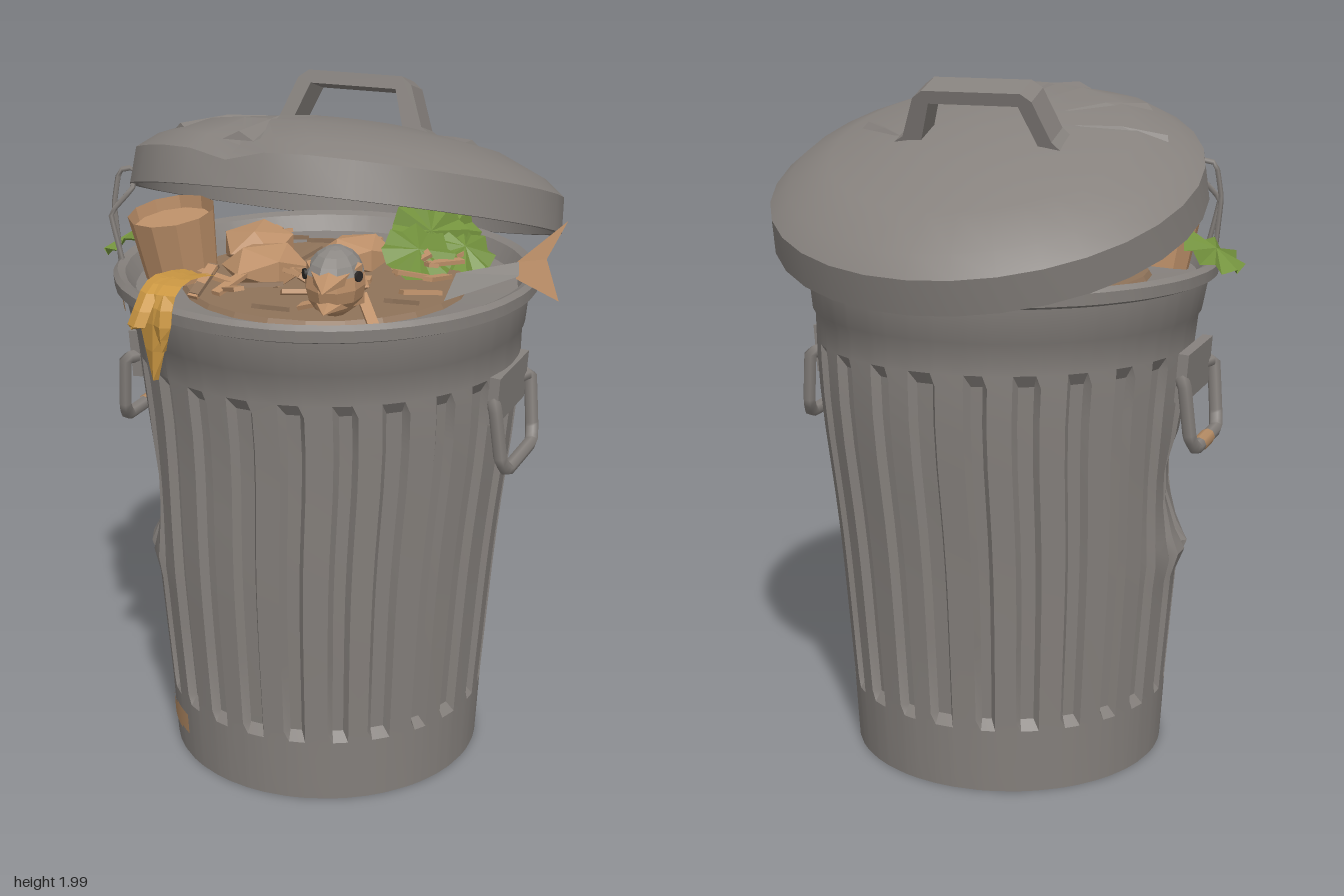
import * as THREE from 'three';
import { toCreasedNormals } from 'three/addons/utils/BufferGeometryUtils.js';
import { ConvexGeometry } from 'three/addons/geometries/ConvexGeometry.js';

const V = (x, y, z) => new THREE.Vector3(x, y, z);

function mat(name, color, extra = {}) {
  const m = new THREE.MeshStandardMaterial({ color, ...extra });
  m.name = name;
  return m;
}

// Surface through rings: rows are profile entries, place(row, angle) gives each point
function loft(rows, angles, place, crease = 0.5) {
  const pos = [], idx = [], n = angles.length;
  rows.forEach((row) => angles.forEach((a, i) => pos.push(...place(row, a, i))));
  for (let j = 0; j < rows.length - 1; j++) {
    for (let i = 0; i < n; i++) {
      const a = j * n + i, b = j * n + (i + 1) % n, c = b + n, d = a + n;
      if (rows[j][1] > 0) idx.push(a, b, d);
      if (rows[j + 1][1] > 0) idx.push(b, c, d);
    }
  }
  const g = new THREE.BufferGeometry();
  g.setAttribute('position', new THREE.Float32BufferAttribute(pos, 3));
  g.setIndex(idx);
  return toCreasedNormals(g, crease);
}

// Flat strip that follows a path, tapering by width(t)
function ribbon(points, width, across) {
  const curve = new THREE.CatmullRomCurve3(points);
  const g = new THREE.PlaneGeometry(1, 1, 2, 8), p = g.attributes.position;
  for (let i = 0; i < p.count; i++) {
    const t = 0.5 - p.getY(i), side = p.getX(i);
    const q = curve.getPoint(t).addScaledVector(across, side * width(t));
    p.setXYZ(i, q.x, q.y, q.z + (side === 0 ? 0.015 : 0));
  }
  return g;
}

// Crinkled leaf
function leafGeometry() {
  const g = new THREE.CircleGeometry(1, 16), p = g.attributes.position;
  for (let i = 1; i < p.count; i++) {
    const k = (i - 1) % 16, s = k % 2 ? 1 : 0.92;
    p.setXYZ(i, p.getX(i) * s, p.getY(i) * s, (k % 2 ? 0.12 : -0.1) - 0.2);
  }
  return g;
}

export function createModel() {
  const metal = mat('grey metal', 0x86817d);
  const tan = mat('tan waste', 0xbd9069, { flatShading: true, side: THREE.DoubleSide });
  const peelMat = mat('orange peel', 0xcb9742, { flatShading: true, side: THREE.DoubleSide });
  const green = mat('leaf green', 0x73923d, { flatShading: true, side: THREE.DoubleSide });
  const fishGrey = mat('fish grey', 0x8c8884, { flatShading: true, side: THREE.DoubleSide });
  const rust = mat('rust', 0xb58c65);
  const brown = mat('brown litter', 0x8f735a, { flatShading: true });
  const dark = mat('dark eye', 0x2b2826);

  const model = new THREE.Group();
  const add = (name, geo, m, parent = model, at = [0, 0, 0], rot = [0, 0, 0], scale = [1, 1, 1]) => {
    const mesh = new THREE.Mesh(geo, m);
    mesh.name = name;
    mesh.position.set(...at);
    mesh.rotation.set(...rot);
    mesh.scale.set(...scale);
    parent.add(mesh);
    return mesh;
  };

  // Can: fluted tapering wall, collar, rolled rim, a slight lean and a dent on one side
  const can = new THREE.Group();
  can.name = 'can';
  can.position.set(-0.043, 0, 0.033);
  model.add(can);
  const wall = [[0, 0], [0, 0.462], [0.05, 0.465], [0.19, 0.473], [0.22, 0.475, 1]];
  for (const y of [0.45, 0.55, 0.62, 0.68, 0.78, 0.88, 0.98, 1.1, 1.21]) wall.push([y, 0.459 + 0.075 * y, 1]);
  wall.push([1.245, 0.551], [1.32, 0.556], [1.335, 0.565], [1.43, 0.579], [1.44, 0.604], [1.472, 0.606],
    [1.485, 0.593], [1.475, 0.572], [1.43, 0.545], [1.42, 0.4]);
  const flutes = 24, angles = [];
  for (let i = 0; i < flutes; i++) {
    const shift = 0.06 * Math.sin(i * 2.7);
    for (const f of [0, 0.5 + shift, 0.62 + shift, 0.9]) angles.push((i + f) / flutes * Math.PI * 2);
  }
  const bump = (y, c, w) => Math.exp(-(((y - c) / w) ** 2));
  add('canBody', loft(wall, angles, ([y, r, groove = 0], a, i) => {
    const near = Math.exp(-(1 - Math.cos(a + 1.35)) * 16), lean = bump(y, 1.1, 0.3);
    const dent = groove * near * (0.03 * bump(y, 0.62, 0.04) - 0.06 * bump(y, 0.84, 0.13));
    const R = r + dent - (i % 4 > 1 ? 0.022 * groove : 0);
    return [R * Math.sin(a) + 0.014 * lean, y, R * Math.cos(a) - 0.012 * lean];
  }), metal, can);
  add('garbageBed', new THREE.CylinderGeometry(0.4, 0.42, 0.03, 24), brown, can, [0, 1.42, 0]);

  // Rust patches lying on the wall
  for (const [y, h, r0, r1, a, w] of [[0.1, 0.06, 0.4695, 0.4725, -1.06, 0.26], [0.112, 0.064, 0.47, 0.4733, -0.9, 0.22],
    [1.4, 0.035, 0.577, 0.582, -1.0, 0.08]])
    add('rustPatch', new THREE.CylinderGeometry(r1, r0, h, 6, 1, true, a, w), rust, can, [0, y, 0]);

  // Side handles: bracket plate and hanging bail
  for (const s of [1, -1]) {
    const side = new THREE.Group();
    side.name = s > 0 ? 'leftHandle' : 'rightHandle';
    can.add(side);
    add('bracket', new THREE.BoxGeometry(0.03, 0.14, 0.27), metal, side, [s * 0.553, 1.18, 0], [0, 0, -s * 0.07]);
    const path = new THREE.CatmullRomCurve3([V(0.55, 1.17, 0.12), V(0.57, 1.17, 0.165), V(0.585, 1.02, 0.15),
      V(0.594, 0.98, 0.115), V(0.594, 0.98, -0.115), V(0.585, 1.02, -0.15), V(0.57, 1.17, -0.165), V(0.55, 1.17, -0.12)]
      .map((p) => V(s * p.x, p.y, p.z)), false, 'catmullrom', 0.1);
    add('bail', new THREE.TubeGeometry(path, 42, 0.02, 6), metal, side);
    if (s < 0) add('rustyGrip', new THREE.CylinderGeometry(0.0225, 0.0225, 0.1, 8, 1, true), rust, side, [-0.594, 0.98, -0.03], [Math.PI / 2, 0, 0]);
  }

  // Lid: domed shell tipped open towards the front, with a notch in the rim
  const lid = new THREE.Group();
  lid.name = 'lid';
  lid.position.set(-0.013, 1.621, -0.052);
  lid.rotation.x = -0.312;
  model.add(lid);
  const dome = [[0.1, 0.612], [0.145, 0.555], [0.2, 0.43], [0.24, 0.2], [0.25, 0]];
  const lidRows = [[0.235, 0], [0.225, 0.2], [0.18, 0.42], [0.12, 0.55], [0.08, 0.585], [0, 0.595], [0, 0.618], ...dome];
  const lidAngles = Array.from({ length: 32 }, (_, i) => i / 32 * Math.PI * 2);
  add('lidShell', loft(lidRows, lidAngles, ([h, r], a) => {
    const n = r > 0.5 ? Math.exp(-(1 - Math.cos(a + 0.2)) * 90) : 0;
    const R = r - 0.015 * n;
    return [R * Math.sin(a), h - (h > 0.09 ? 0.03 * n : 0), 1.025 * R * Math.cos(a)];
  }, 0.4), metal, lid);

  // Pressed creases on the dome
  const domeY = (x, z) => {
    const r = Math.hypot(x, z / 1.025);
    for (let i = 0; i < dome.length - 1; i++) {
      const [h0, r0] = dome[i], [h1, r1] = dome[i + 1];
      if (r >= r1) return h0 + (h1 - h0) * (r0 - r) / (r0 - r1);
    }
  };
  for (const [x0, z0, x1, z1, w] of [[-0.03, 0.22, -0.1, 0.57, 0.05], [-0.19, 0.16, -0.37, 0.37, 0.05],
    [-0.25, 0.07, -0.49, 0.15, 0.03], [0.22, -0.06, 0.37, 0.06, 0.04]]) {
    const dir = V(x1 - x0, 0, z1 - z0).normalize(), on = (x, z, up) => V(x, domeY(x, z) + up, z);
    add('crease', new ConvexGeometry([on(x0, z0, 0.002), on(x1 - dir.z * w, z1 + dir.x * w, -0.01),
      on(x1 + dir.z * w, z1 - dir.x * w, -0.01), on(x1, z1, 0.012), on((x0 + x1) / 2, (z0 + z1) / 2, 0.008)]), metal, lid);
  }

  // Strap handle on the lid
  const strap = new THREE.Shape([[-0.26, 0.225], [-0.2, 0.225], [-0.15, 0.35], [0.11, 0.35], [0.15, 0.225], [0.24, 0.225],
    [0.2, 0.25], [0.155, 0.365], [0.125, 0.387], [-0.16, 0.387], [-0.19, 0.365], [-0.235, 0.25]].map((p) => new THREE.Vector2(...p)));
  add('lidHandle', new THREE.ExtrudeGeometry(strap, { depth: 0.1, bevelEnabled: false }), metal, lid, [0, 0, -0.09]);

  // Loose wire loop hooked at the rim
  const wire = new THREE.CatmullRomCurve3([V(-0.6, 1.47, 0.22), V(-0.615, 1.64, 0.22), V(-0.6, 1.74, 0.21),
    V(-0.555, 1.75, 0.2), V(-0.545, 1.7, 0.24), V(-0.6, 1.63, 0.27), V(-0.57, 1.5, 0.27)], false, 'catmullrom', 0.1);
  add('wireLoop', new THREE.TubeGeometry(wire, 24, 0.008, 5), metal);

  // Banana peel draped over the rim
  const peel = new THREE.Group();
  peel.name = 'bananaPeel';
  model.add(peel);
  for (const [x, tipX, tipY, out, w] of [[-0.27, -0.29, 1.29, 0.62, 0.11], [-0.3, -0.33, 1.44, 0.66, 0.06], [-0.25, -0.25, 1.38, 0.64, 0.06]])
    add('peelStrip', ribbon([V(-0.26, 1.53, 0.4), V(x, 1.55, 0.53), V(x, 1.53, 0.62), V((x + tipX) / 2, 1.45, out + 0.01), V(tipX, tipY, out)],
      (t) => w * (t < 0.75 ? 1 : 1 - (t - 0.75) * 3.2), V(0.97, 0, 0.22)), peelMat, peel);

  // Fish head with an open mouth, looking forward over the rim
  const head = new THREE.Group();
  head.name = 'fishHead';
  head.position.set(0.175, 1.58, 0.49);
  head.rotation.y = 0.2;
  model.add(head);
  const size = [0.08, 0.092, 0.11];
  add('headTop', new THREE.SphereGeometry(1, 10, 4, 0, Math.PI * 2, 0, Math.PI * 0.4), fishGrey, head, [0, 0, 0], [0, 0, 0], size);
  add('headBase', new THREE.SphereGeometry(1, 10, 5, 0, Math.PI * 2, Math.PI * 0.4, Math.PI * 0.6), tan, head, [0, 0, 0], [0, 0, 0], size);
  add('upperJaw', new THREE.ConeGeometry(0.085, 0.17, 6), tan, head, [0, 0.022, 0.095], [Math.PI / 2 + 0.1, 0, 0], [1, 1, 0.5]);
  add('lowerJaw', new THREE.ConeGeometry(0.085, 0.18, 6), tan, head, [0, -0.045, 0.075], [Math.PI / 2, 0, 0], [1, 1, 0.4]);
  for (const s of [1, -1])
    add('eye', new THREE.CylinderGeometry(0.014, 0.014, 0.008, 10), dark, head, [s * 0.07, 0.028, 0.05], [0, s * -0.5, Math.PI / 2]);

  // Fish tail poking out at the side
  add('fishStem', new ConvexGeometry([V(0.38, 1.5, 0.12), V(0.38, 1.47, 0.22), V(0.4, 1.54, 0.18), V(0.58, 1.585, 0.15), V(0.585, 1.555, 0.185)]), fishGrey);
  const fin = new THREE.BufferGeometry().setFromPoints([V(0.56, 1.58, 0.15), V(0.65, 1.605, 0.18), V(0.69, 1.7, 0.13),
    V(0.57, 1.545, 0.19), V(0.71, 1.52, 0.265), V(0.65, 1.605, 0.18), V(0.56, 1.58, 0.15), V(0.57, 1.545, 0.19), V(0.65, 1.605, 0.18)]);
  fin.computeVertexNormals();
  add('tailFin', fin, tan);

  // Leaves: one hanging over the rim, the rest crumpled inside
  const leaf = leafGeometry();
  add('rimLeaf', leaf, green, model, [-0.645, 1.525, 0.06], [-Math.PI / 2, -0.5, 0], [0.095, 0.135, 0.11]);
  for (const [x, y, z, rx, ry, s] of [[0.19, 1.51, -0.11, -1.1, 0.35, 0.11], [0.18, 1.53, -0.24, -0.7, 0.5, 0.12],
    [0.28, 1.49, -0.26, -1.2, 0.5, 0.1], [0.2, 1.51, -0.36, -0.8, 0.7, 0.11]])
    add('innerLeaf', leaf, green, model, [x, y, z], [rx, ry, 0], [s, s, s]);

  // Crushed cup
  const cup = add('crushedCup', new THREE.CylinderGeometry(0.125, 0.105, 0.19, 11, 1, true), tan, model, [-0.44, 1.54, 0.18], [0.15, 0, 0.08]);
  add('cupBase', new THREE.CircleGeometry(0.115, 11), tan, cup, [0, 0.06, 0], [-Math.PI / 2, 0, 0]);

  // Crumpled paper lumps
  for (const [x, y, z, sx, sy, sz, r] of [[-0.2, 1.475, 0.1, 0.13, 0.07, 0.12, 0.4], [0.04, 1.47, 0.14, 0.12, 0.05, 0.09, 1.2],
    [0.0, 1.48, -0.1, 0.12, 0.06, 0.11, 2], [-0.3, 1.48, -0.08, 0.14, 0.07, 0.12, 0.9]])
    add('paperLump', new THREE.IcosahedronGeometry(1, 0), tan, model, [x, y, z], [0, r * 2, 0], [sx, sy, sz]);

  // Scattered scraps on the surface
  let seed = 7;
  const rnd = () => (seed = (seed * 16807) % 2147483647) / 2147483647;
  for (let i = 0; i < 46; i++) {
    const a = rnd() * Math.PI * 2, r = 0.4 * Math.sqrt(rnd());
    add('scrap', new THREE.BoxGeometry(0.12, 0.012, 0.03), i % 3 ? tan : brown, can,
      [r * Math.sin(a), 1.45 + rnd() * 0.03, r * Math.cos(a)], [rnd() - 0.5, rnd() * 6, (rnd() - 0.5) * 0.8]);
  }
  return model;
}
